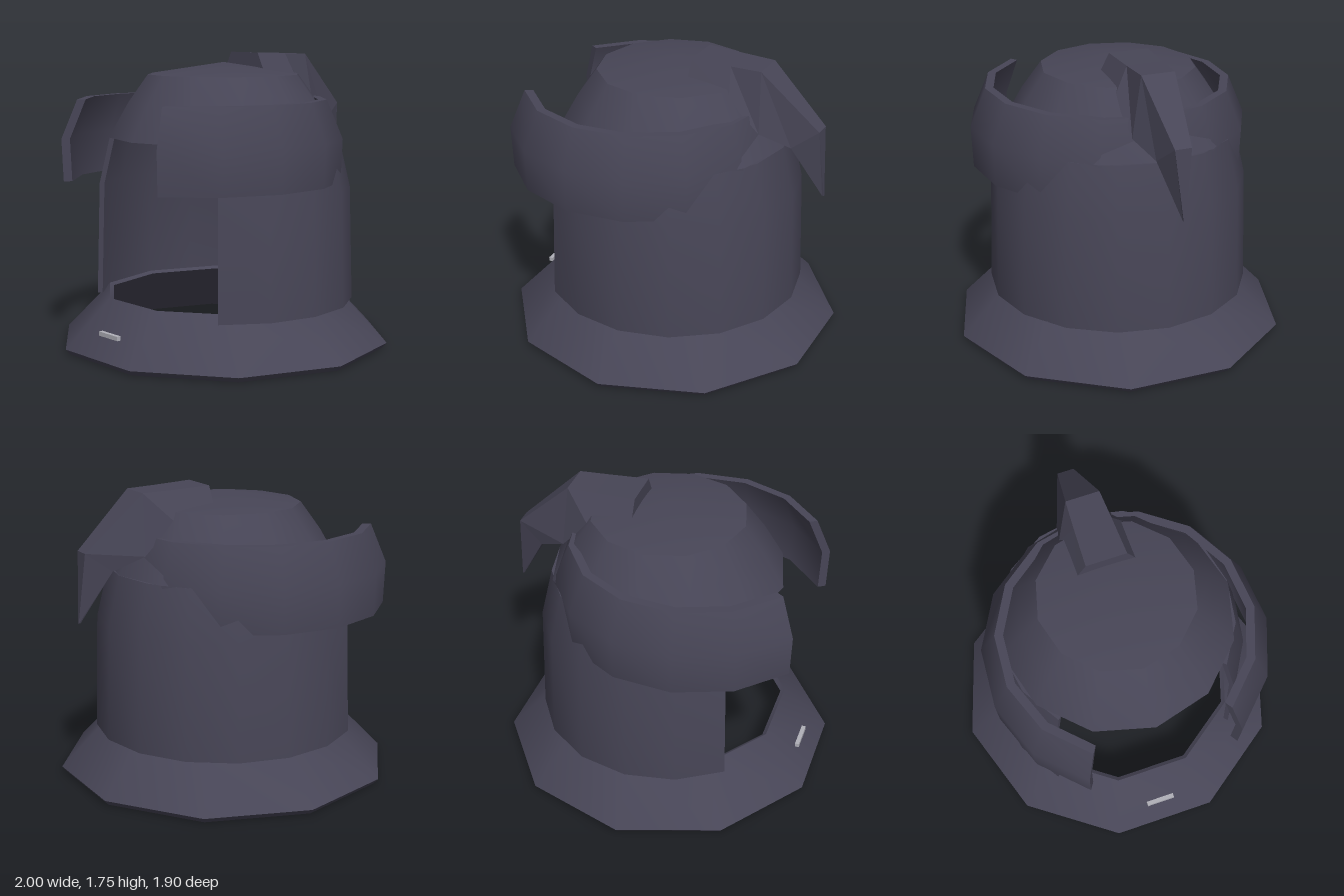
import * as THREE from 'three';
import { toCreasedNormals } from 'three/addons/utils/BufferGeometryUtils.js';

const rad = THREE.MathUtils.degToRad;
const shellDark = new THREE.MeshStandardMaterial({ color: 0x474556, side: THREE.DoubleSide });
shellDark.name = 'dark slate';
const paleGrey = new THREE.MeshStandardMaterial({ color: 0xb0b0b8 });
paleGrey.name = 'pale grey';

function part(name, geometry, material = shellDark) {
  const mesh = new THREE.Mesh(geometry, material);
  mesh.name = name;
  return mesh;
}

// Revolved profile [radius, y]; phi = 0 faces the front
function lathe(profile, sides, startDeg = 0, sweepDeg = 360) {
  const pts = profile.map(([r, y]) => new THREE.Vector2(r, y));
  return toCreasedNormals(new THREE.LatheGeometry(pts, sides, rad(startDeg), rad(sweepDeg)), 0.6);
}

// Thick wall: outer profile going up, then the inner offset coming down
function wall(outer, t) {
  const inner = outer.map(([r, y]) => [r - t, y]).reverse();
  return [...outer, ...inner, outer[0]];
}

// Wall open at the front, with both end faces closed
function openWall(name, outer, t, gapDeg) {
  const group = new THREE.Group();
  group.name = name;
  const profile = wall(outer, t);
  group.add(part(name + 'Wall', lathe(profile, 12, gapDeg, 360 - 2 * gapDeg)));
  const shape = new THREE.Shape(profile.slice(0, -1).map(([r, y]) => new THREE.Vector2(r, y)));
  for (const side of [-1, 1]) {
    const cap = part(name + 'End', new THREE.ShapeGeometry(shape));
    cap.rotation.y = rad(side * gapDeg - 90);
    group.add(cap);
  }
  return group;
}

// Loft through four-cornered sections: [topZ, topY, topHalfWidth, lowZ, lowY, lowHalfWidth]
function loft(sections) {
  const rings = sections.map(([tz, ty, tw, bz, by, bw]) =>
    [[-tw, ty, tz], [tw, ty, tz], [bw, by, bz], [-bw, by, bz]]);
  const pos = [];
  const quad = (a, b, c, d) => pos.push(...a, ...b, ...c, ...a, ...c, ...d);
  for (let i = 0; i < rings.length - 1; i++) {
    for (let j = 0; j < 4; j++) {
      const k = (j + 1) % 4;
      quad(rings[i][j], rings[i][k], rings[i + 1][k], rings[i + 1][j]);
    }
  }
  const f = rings[0];
  quad(f[3], f[2], f[1], f[0]);
  const geometry = new THREE.BufferGeometry();
  geometry.setAttribute('position', new THREE.Float32BufferAttribute(pos, 3));
  geometry.computeVertexNormals();
  return geometry;
}

export function createModel() {
  const model = new THREE.Group();
  model.name = 'helmet';

  // Ten-sided flared neck collar
  model.add(part('collar', lathe(
    [[0.975, 0], [1, 0.03], [0.725, 0.315], [0.7, 0.3], [0.975, 0]], 10, 18)));

  // Small plate on the collar front
  const plate = part('collarPlate', new THREE.BoxGeometry(0.175, 0.025, 0.025), paleGrey);
  plate.position.set(0, 0.155, 0.857);
  model.add(plate);

  // Head shell with an open face
  model.add(openWall('headShell', [[0.78, 0.27], [0.76, 0.95], [0.69, 1.25]], 0.03, 47));

  // Faceted skull cap
  model.add(part('dome', lathe(
    [[0.69, 1.25], [0.57, 1.46], [0.455, 1.62], [0, 1.69]], 12)));

  // Cheek band wrapping round the sides and sinking into the back
  const band = openWall('cheekBand', [[0.82, 1], [0.83, 1.25], [0.735, 1.48]], 0.05, 33);
  band.position.z = 0.165;
  model.add(band);

  // Crest sweeping over the crown and down to a point behind
  model.add(part('crest', loft([
    [-0.165, 1.745, 0.12, -0.165, 1.64, 0.175],
    [-0.4, 1.735, 0.11, -0.43, 1.57, 0.195],
    [-0.58, 1.73, 0.1, -0.6, 1.38, 0.16],
    [-0.92, 1.41, 0.05, -0.77, 1.3, 0.09],
    [-0.95, 1.0, 0.005, -0.94, 1.0, 0.005],
  ])));

  return model;
}
